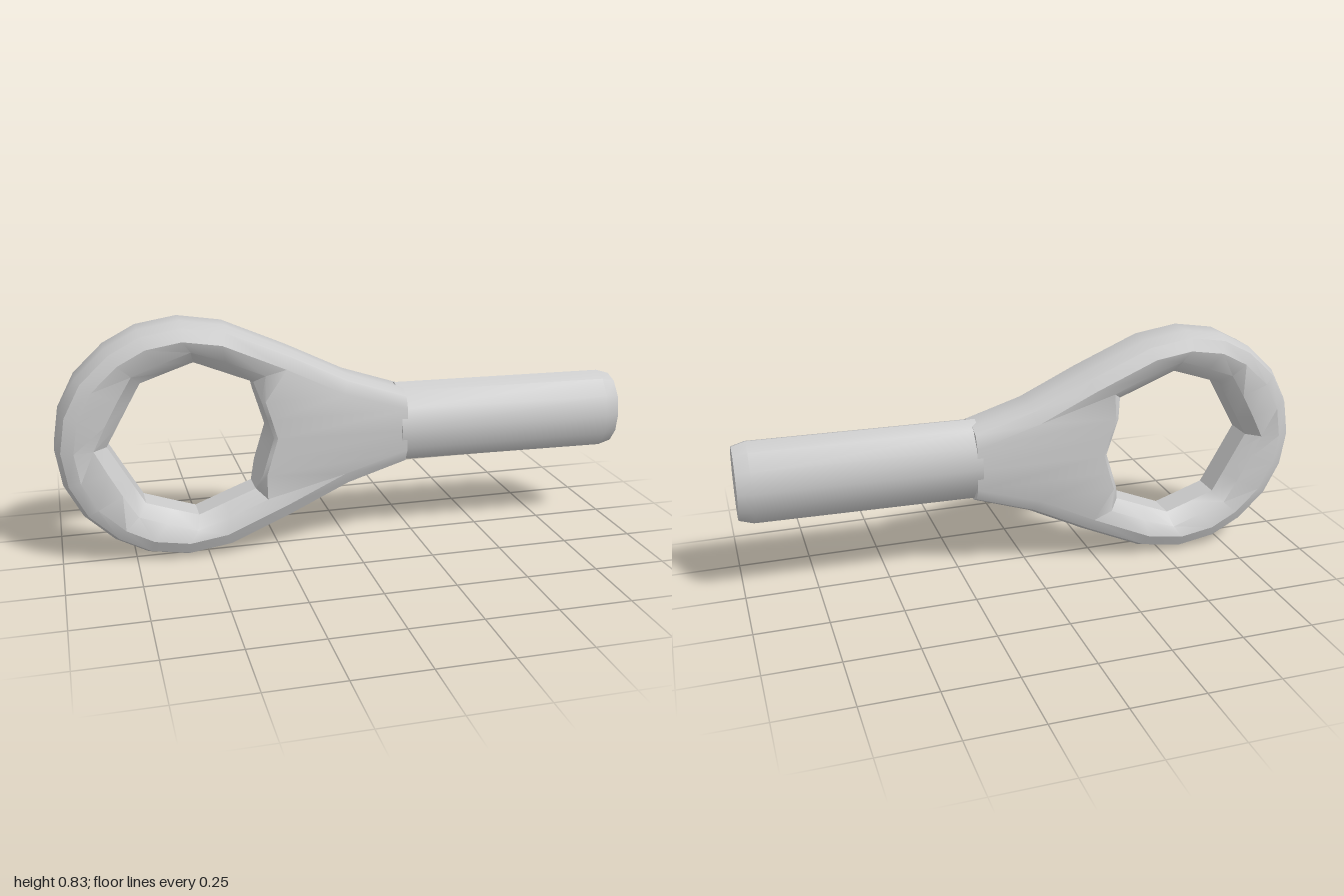
import * as THREE from 'three';
import { toCreasedNormals } from 'three/addons/utils/BufferGeometryUtils.js';

const MID = 0.417; // height of the long axis

// The bolt leans slightly in z along its length
function lean(geo) {
  const p = geo.attributes.position;
  for (let i = 0; i < p.count; i++) {
    p.setZ(i, p.getZ(i) - 0.012 + 0.033 * Math.max(p.getX(i), -0.5));
  }
  return geo;
}

function finish(geo, name, material) {
  const mesh = new THREE.Mesh(toCreasedNormals(lean(geo), 0.6), material);
  mesh.name = name;
  return mesh;
}

// Upper half of the eye: [inner x, inner y, outer x, outer y], y from the axis
const HALF = [
  [-0.27, 0, 0.2, 0],
  [-0.29, 0.065, 0.2, 0.135],
  [-0.31, 0.13, 0.0, 0.2],
  [-0.33, 0.193, -0.2, 0.297],
  [-0.43, 0.233, -0.42, 0.393],
  [-0.53, 0.273, -0.57, 0.416],
  [-0.62, 0.243, -0.71, 0.393],
  [-0.71, 0.212, -0.82, 0.335],
  [-0.75, 0.142, -0.92, 0.24],
  [-0.79, 0.071, -0.98, 0.125],
  [-0.83, 0, -1, 0],
];

// Ring and flared neck as one closed loft around the hole
function eyeGeometry() {
  const mirrored = HALF.slice(1, -1).reverse().map(([a, b, c, d]) => [a, -b, c, -d]);
  const loop = [...HALF, ...mirrored];
  const n = loop.length;
  const pos = [], idx = [];
  let m = 0;

  loop.forEach(([ix, iy, ox, oy], k) => {
    const prev = loop[(k + n - 1) % n], next = loop[(k + 1) % n];
    const normal = new THREE.Vector2(next[3] - prev[3], prev[2] - next[2]).normalize();
    // The neck end is cut square where it meets the shank
    if (ox > 0.1) normal.set(0, Math.sign(oy));
    const inner = new THREE.Vector2(ix, iy), outer = new THREE.Vector2(ox, oy);
    const dir = outer.clone().sub(inner).normalize();
    const fromIn = (d, z) => [inner.x + dir.x * d, inner.y + dir.y * d, z];
    const fromOut = (d, z) => [outer.x - normal.x * d, outer.y - normal.y * d, z];
    const neck = ix > -0.32;
    const half = [
      fromIn(0, neck ? 0.09 : 0.05),
      fromIn(neck ? 0.012 : 0.045, neck ? 0.1 : 0.092),
      fromOut(0.06, 0.105),
      fromOut(0.018, 0.085),
      fromOut(0, 0.045),
    ];
    const section = [...half.map(([x, y, z]) => [x, y, -z]), ...half.reverse()];
    m = section.length;
    section.forEach(([x, y, z]) => pos.push(x, y + MID, z));
  });

  for (let k = 0; k < n; k++) {
    for (let j = 0; j < m; j++) {
      const k2 = (k + 1) % n, j2 = (j + 1) % m;
      const a = k * m + j, b = k * m + j2, c = k2 * m + j, d = k2 * m + j2;
      idx.push(a, c, b, b, c, d);
    }
  }
  const geo = new THREE.BufferGeometry();
  geo.setAttribute('position', new THREE.Float32BufferAttribute(pos, 3));
  geo.setIndex(idx);
  return geo;
}

// Oval shank with a chamfered tip, turned to lie along x
function shankGeometry() {
  const profile = [[0, 0.18], [1, 0.18], [1, 0.95], [0.9, 0.998], [0, 1]]
    .map(([r, h]) => new THREE.Vector2(r, h));
  const geo = new THREE.LatheGeometry(profile, 12);
  geo.rotateZ(-Math.PI / 2);
  geo.scale(1, 0.145, 0.113);
  geo.translate(0, MID + 0.003, 0);
  return geo;
}

export function createModel() {
  const material = new THREE.MeshStandardMaterial({ color: 0xcccccc });
  const group = new THREE.Group();
  group.name = 'eyeBolt';
  group.add(finish(eyeGeometry(), 'eyeAndNeck', material));
  group.add(finish(shankGeometry(), 'shank', material));
  return group;
}
